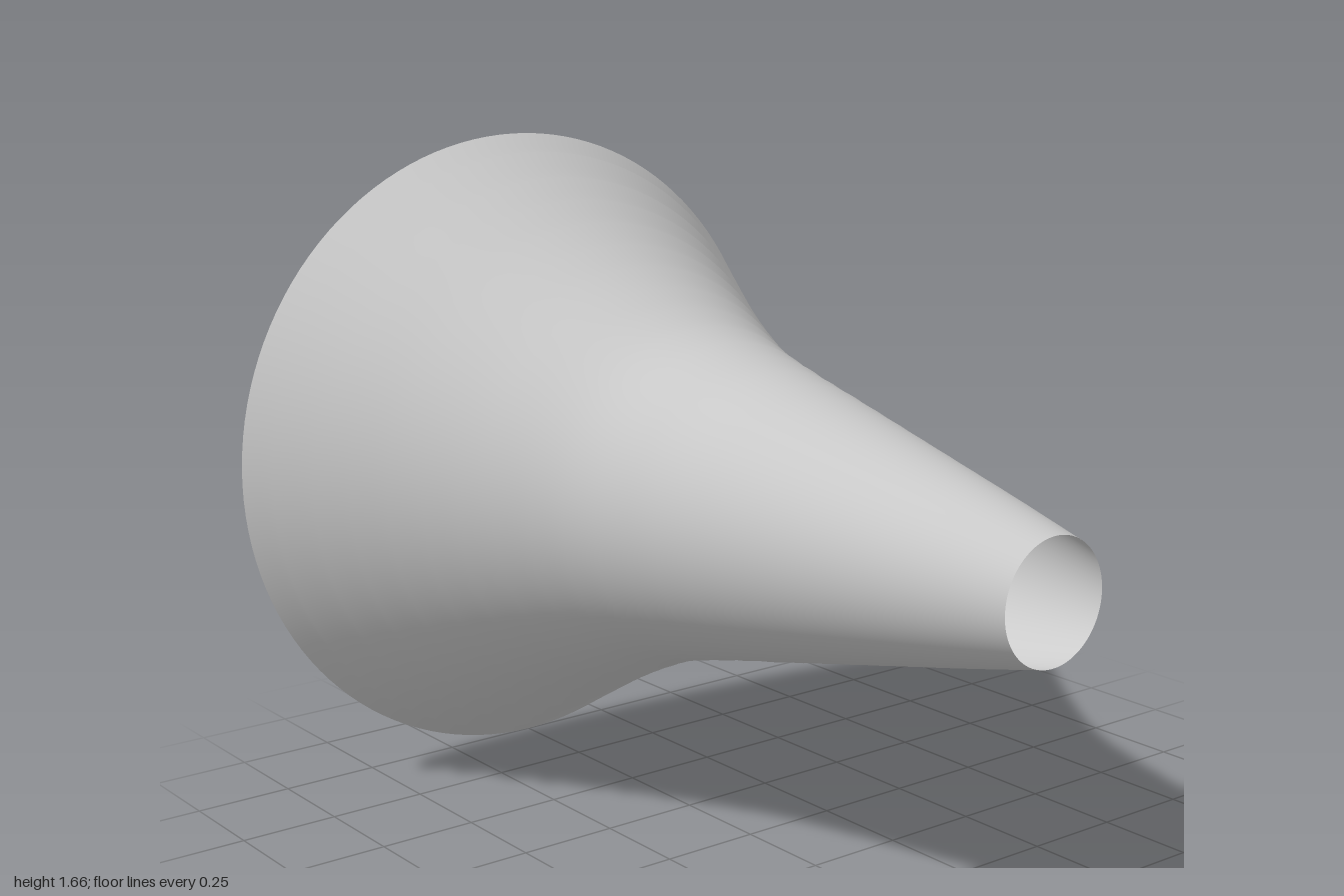
import * as THREE from 'three';

const RINGS = 22, STEPS = 6, SIDES = 128;

// Flared outline: radius at even steps from the wide mouth (-1) to the narrow end (+1)
const radii = [0.83, 0.717, 0.607, 0.508, 0.424, 0.37, 0.325, 0.28, 0.235, 0.19, 0.143];
const outline = new THREE.SplineCurve(radii.map((r, i) => new THREE.Vector2(r, -1 + i * 0.2)));

export function createModel() {
  const group = new THREE.Group();

  // Smooth flare, and the same flare with a shallow hollow between each pair of rings
  const smooth = outline.getPoints(RINGS * STEPS);
  const scalloped = smooth.map((p, i) => {
    const t = (i % STEPS) / STEPS;
    const sag = 0.022 * Math.exp(-2.5 * (p.y + 1)) * 4 * t * (1 - t);
    return new THREE.Vector2(p.x - sag, p.y);
  });

  // The hollows keep the soft shading of the smooth flare
  const geometry = new THREE.LatheGeometry(scalloped, SIDES);
  geometry.setAttribute('normal', new THREE.LatheGeometry(smooth, SIDES).getAttribute('normal'));
  geometry.rotateZ(-Math.PI / 2);

  // Thin open shell, lying along x
  const horn = new THREE.Mesh(
    geometry,
    new THREE.MeshStandardMaterial({ color: 0xcccccc, side: THREE.DoubleSide })
  );
  horn.name = 'hornShell';
  horn.position.y = 0.83;
  group.add(horn);
  return group;
}
